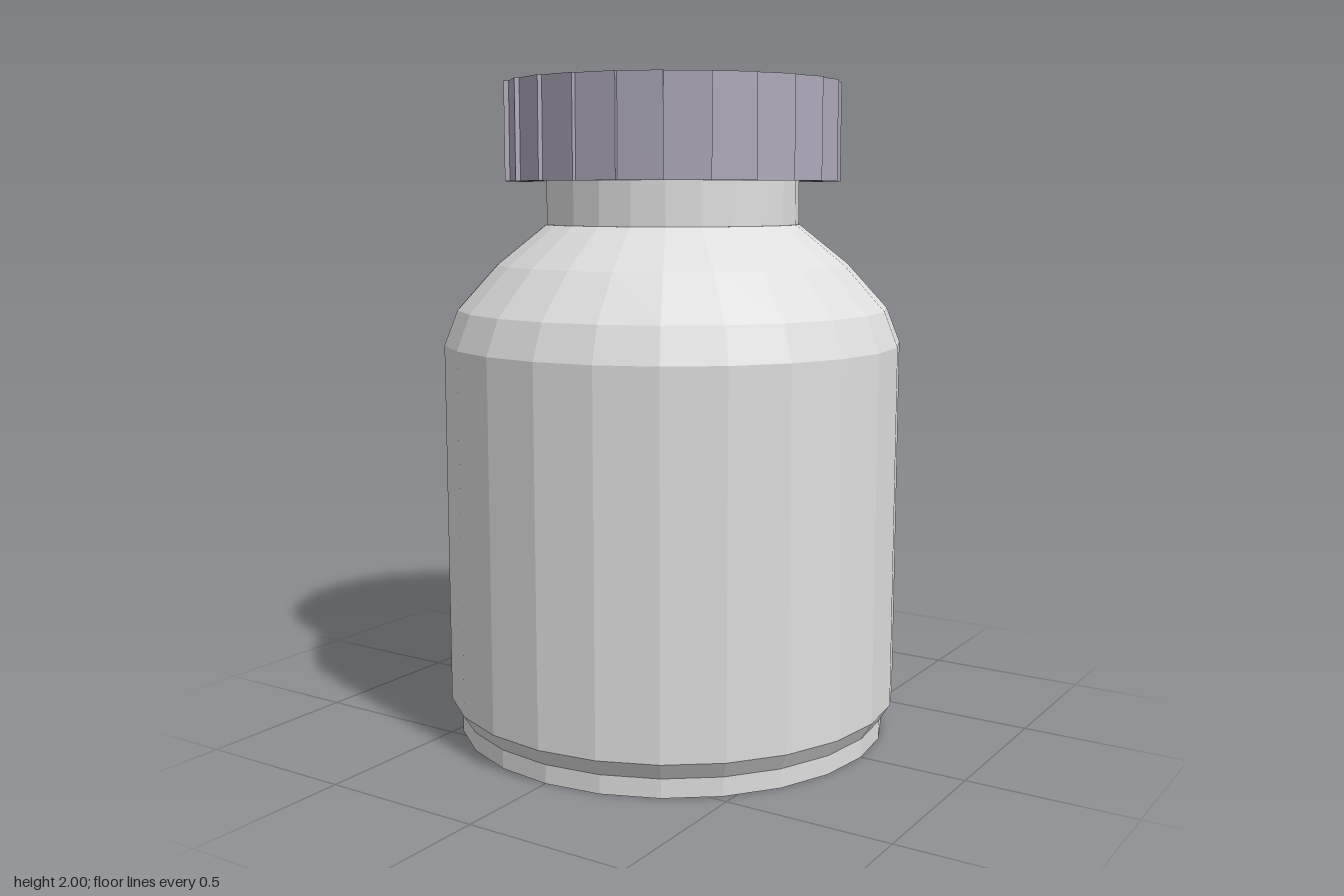
import * as THREE from 'three';

const SIDES = 24;

export function createModel() {
  const model = new THREE.Group();
  model.name = 'bottleWithCap';

  const glass = new THREE.MeshStandardMaterial({ color: 0xdedede, flatShading: true });
  glass.name = 'pale grey';
  const plastic = new THREE.MeshStandardMaterial({ color: 0xaea9ba, flatShading: true });
  plastic.name = 'lavender grey';

  const add = (name, geometry, material, y = 0) => {
    const mesh = new THREE.Mesh(geometry, material);
    mesh.name = name;
    mesh.position.y = y;
    model.add(mesh);
  };

  const lathe = (points) =>
    new THREE.LatheGeometry(points.map(([r, y]) => new THREE.Vector2(r, y)), SIDES);

  // Body: recessed foot, straight wall and rounded shoulder
  add('body', lathe([
    [0, 0], [0.67, 0], [0.67, 0.057], [0.703, 0.11], [0.703, 1.215],
    [0.662, 1.32], [0.54, 1.455], [0.39, 1.575],
  ]), glass);

  // Neck: runs up inside the cap
  add('neck', lathe([[0.388, 1.575], [0.388, 1.97]]), glass);

  // Cap outline: one slanted tooth per side, stepping back out at each corner
  const outline = [];
  for (let i = 0; i < SIDES; i++) {
    const a = (i / SIDES) * Math.PI * 2;
    const b = ((i + 1) / SIDES) * Math.PI * 2;
    outline.push(
      new THREE.Vector2(Math.sin(a) * 0.513, Math.cos(a) * 0.513),
      new THREE.Vector2(Math.sin(b) * 0.498, Math.cos(b) * 0.498),
    );
  }

  const extrudeUp = (shape, depth) =>
    new THREE.ExtrudeGeometry(shape, { depth, bevelEnabled: false, curveSegments: SIDES })
      .rotateX(-Math.PI / 2);

  // Cap skirt: hollow ring, open below
  const ring = new THREE.Shape(outline);
  ring.holes.push(new THREE.Path().absarc(0, 0, 0.46, 0, Math.PI * 2, false));
  add('capSkirt', extrudeUp(ring, 0.26), plastic, 1.705);

  // Cap lid: closes the top
  add('capLid', extrudeUp(new THREE.Shape(outline), 0.035), plastic, 1.965);

  return model;
}
